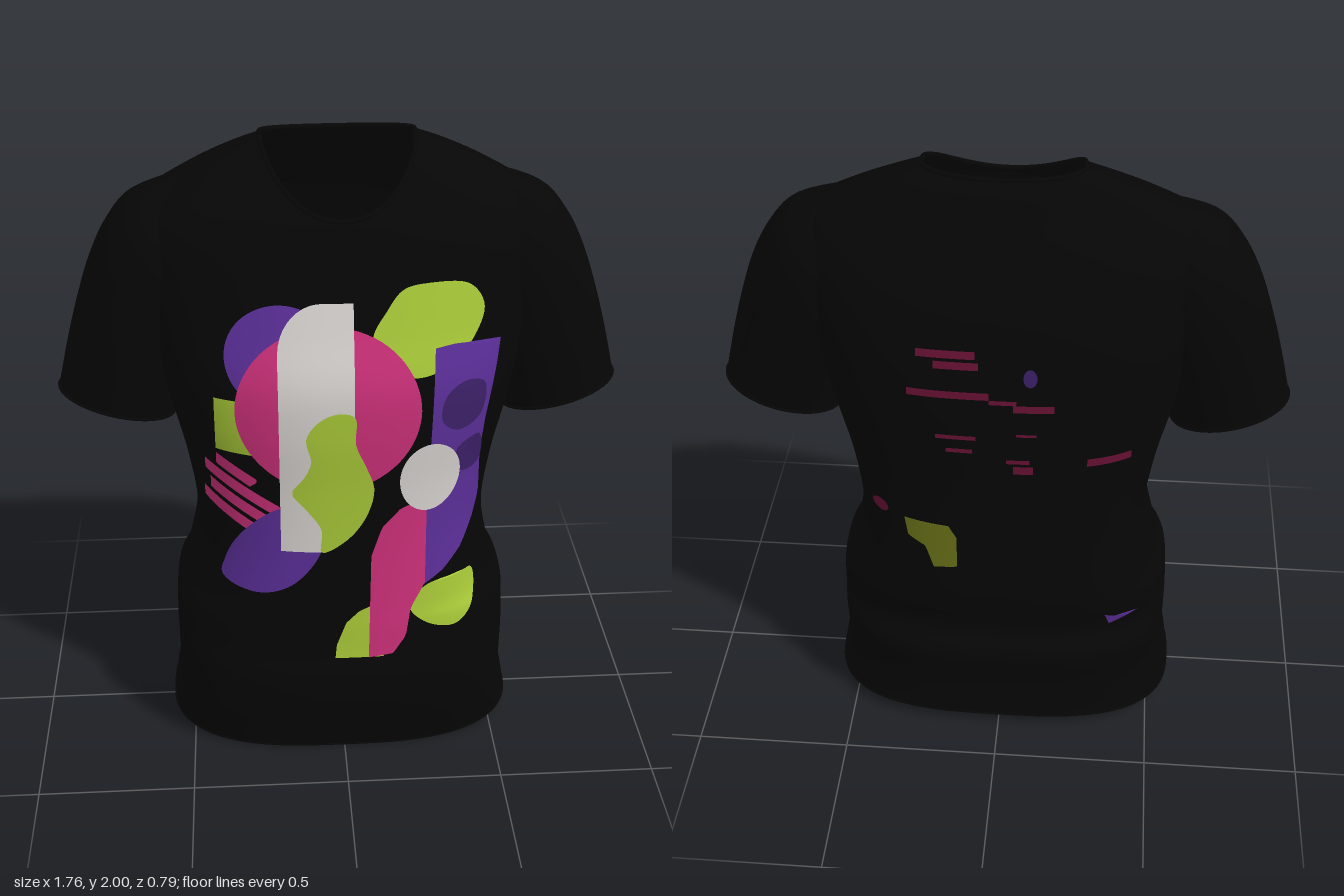
import * as THREE from 'three';

const paint = (name, color) => {
  const m = new THREE.MeshStandardMaterial({ color, side: THREE.DoubleSide });
  m.name = name;
  return m;
};

// Torso rings: side y, front y, back y, half width, front z, back z, centre z, squareness
const TORSO = [
  [0.04, 0.00, 0.04, 0.570, 0.315, -0.358, 0, 2.9],
  [0.10, 0.08, 0.10, 0.562, 0.342, -0.352, 0, 2.9],
  [0.20, 0.20, 0.20, 0.545, 0.380, -0.355, 0, 2.9],
  [0.33, 0.33, 0.33, 0.545, 0.396, -0.380, 0, 2.8],
  [0.41, 0.41, 0.41, 0.545, 0.380, -0.330, 0, 2.7],
  [0.52, 0.52, 0.52, 0.537, 0.372, -0.358, 0, 2.6],
  [0.60, 0.60, 0.60, 0.500, 0.366, -0.373, 0, 2.5],
  [0.80, 0.80, 0.80, 0.462, 0.356, -0.375, 0, 2.5],
  [1.00, 1.00, 1.00, 0.485, 0.354, -0.375, 0, 2.4],
  [1.20, 1.20, 1.20, 0.530, 0.360, -0.385, 0, 2.4],
  [1.35, 1.35, 1.35, 0.560, 0.350, -0.390, -0.01, 2.4],
  [1.50, 1.50, 1.50, 0.585, 0.303, -0.385, -0.02, 2.4],
  [1.64, 1.63, 1.64, 0.605, 0.263, -0.362, -0.03, 2.4],
  [1.74, 1.70, 1.73, 0.605, 0.242, -0.330, -0.05, 2.4],
  [1.825, 1.75, 1.81, 0.570, 0.230, -0.292, -0.07, 2.3],
  [1.90, 1.79, 1.89, 0.450, 0.220, -0.245, -0.09, 2.2],
  [1.955, 1.81, 1.95, 0.330, 0.212, -0.210, -0.10, 2.15],
  [1.992, 1.82, 1.98, 0.232, 0.205, -0.178, -0.10, 2.1],
];

// Smooth interpolation between table rows, u running from 0 to rows - 1
function rowAt(table, u) {
  const last = table.length - 1, i = Math.min(Math.floor(u), last - 1), f = u - i;
  const [a, b, c, d] = [i - 1, i, i + 1, i + 2].map(k => table[Math.max(0, Math.min(last, k))]);
  return b.map((q, k) => q + 0.5 * f * (c[k] - a[k] + f * (2 * a[k] - 5 * q + 4 * c[k] - d[k]
    + f * (3 * (q - c[k]) + d[k] - a[k]))));
}

// The back is squarer than the front
const squareness = (n, front) => front ? n : Math.min(2.9, 2 * n - 2);

function torsoPoint(u, angle) {
  const [yS, yF, yB, w, zF, zB, zC, q] = rowAt(TORSO, u);
  const c = Math.cos(angle), s = Math.sin(angle), front = s > 0, n = squareness(q, front);
  const k = Math.pow(Math.abs(s), 2 / n);
  return [Math.sign(c) * w * Math.pow(Math.abs(c), 2 / n),
    yS + ((front ? yF : yB) - yS) * Math.pow(Math.abs(s), 1.45),
    zC + ((front ? zF : zB) - zC) * k];
}

// Depth of the cloth at a given x and y, on the front or back
function clothZ(x, y, front) {
  let lo = 0, hi = TORSO.length - 1;
  for (let i = 0; i < 24; i++) {
    const mid = (lo + hi) / 2;
    if (rowAt(TORSO, mid)[front ? 1 : 2] < y) lo = mid; else hi = mid;
  }
  const [, , , w, zF, zB, zC, q] = rowAt(TORSO, lo), n = squareness(q, front);
  const k = Math.pow(Math.max(0, 1 - Math.pow(Math.abs(x) / w, n)), 1 / n);
  return zC + ((front ? zF : zB) - zC) * k;
}

// Surface through rows of points, optionally closed around each row
function loft(rows, closed) {
  const m = rows[0].length, index = [];
  for (let r = 0; r < rows.length - 1; r++) {
    for (let j = 0; j < (closed ? m : m - 1); j++) {
      const a = r * m + j, b = r * m + (j + 1) % m;
      index.push(a, a + m, b, b, a + m, b + m);
    }
  }
  const g = new THREE.BufferGeometry();
  g.setAttribute('position', new THREE.Float32BufferAttribute(rows.flat(2), 3));
  g.setIndex(index);
  g.computeVertexNormals();
  return g;
}

const ringOf = (count, fn) => Array.from({ length: count }, (_, i) => fn(i / count * Math.PI * 2));

// Flat closing panel that fills a ring of points towards its middle
function panel(ring) {
  const mid = [0, 1, 2].map(k => ring.reduce((sum, p) => sum + p[k], 0) / ring.length);
  return loft([0.02, 0.5, 1].map(f => ring.map(p => p.map((v, k) => mid[k] + (v - mid[k]) * f))), true);
}

// Rounded edge that follows a ring of points
const edging = (ring, radius) => new THREE.TubeGeometry(
  new THREE.CatmullRomCurve3(ring.map(p => new THREE.Vector3(...p)), true), 112, radius, 6, true);

// Printed patch: an outline cut into horizontal spans and laid on the cloth
function patchGeometry(outline, layer, front) {
  const ys = outline.map(p => p[1]), y0 = Math.min(...ys), y1 = Math.max(...ys);
  const rows = [], R = 36, C = 14, lift = (0.005 + 0.0012 * layer) * (front ? 1 : -1);
  for (let r = 0; r <= R; r++) {
    const f = 0.0005 + 0.999 * (0.5 - 0.5 * Math.cos(Math.PI * r / R)), y = y0 + (y1 - y0) * f;
    const xs = [];
    outline.forEach((p, i) => {
      const q = outline[(i + 1) % outline.length];
      if ((p[1] <= y) !== (q[1] <= y)) xs.push(p[0] + (q[0] - p[0]) * (y - p[1]) / (q[1] - p[1]));
    });
    const a = Math.min(...xs), b = Math.max(...xs);
    rows.push(Array.from({ length: C + 1 }, (_, j) => {
      const x = a + (b - a) * (front ? 1 - j / C : j / C);
      return [x, y, clothZ(x, y, front) + lift];
    }));
  }
  return loft(rows, false);
}

const blob = pts => new THREE.CatmullRomCurve3(pts.map(p => new THREE.Vector3(p[0], p[1], 0)), true, 'centripetal')
  .getPoints(80).slice(0, -1).map(v => [v.x, v.y]);
const oval = (x, y, rx, ry) => ringOf(64, a => [x + rx * Math.cos(a), y + ry * Math.sin(a)]);
const box = (x0, y0, x1, y1) => [[x0, y0], [x1, y0], [x1, y1], [x0, y1]];

export function createModel() {
  const shirt = new THREE.Group();
  shirt.name = 'tShirt';
  const black = paint('black cloth', 0x060606);
  const white = paint('off white ink', 0xd6d2cf), pink = paint('pink ink', 0xcb3079);
  const lime = paint('lime ink', 0xa8c838), purple = paint('purple ink', 0x5b2f99);
  const darkPurple = paint('dark purple ink', 0x3d2169);
  const darkRed = paint('dark red ink', 0x6b1236), olive = paint('olive ink', 0x6c7418);
  const add = (name, geometry, material, parent = shirt) => {
    const mesh = new THREE.Mesh(geometry, material);
    mesh.name = name;
    parent.add(mesh);
  };

  // Body with collar band, hem edge and closing panel
  const top = TORSO.length - 1;
  const torsoRing = (u, count) => ringOf(count, a => torsoPoint(u, a));
  add('body', loft(Array.from({ length: top * 5 + 1 }, (_, i) => torsoRing(i / 5, 128)), true), black);
  add('collar', edging(torsoRing(top, 48), 0.008), black);
  add('hem', edging(torsoRing(0, 64), 0.004), black);
  add('hemPanel', panel(torsoRing(0, 128)), black);

  // Sleeves: outer x, y, inner x, y, half depth, centre z
  const SLEEVE = [
    [0.878, 1.21, 0.52, 1.11, 0.142, -0.035],
    [0.84, 1.365, 0.50, 1.18, 0.158, -0.037],
    [0.80, 1.505, 0.48, 1.26, 0.175, -0.042],
    [0.755, 1.635, 0.46, 1.35, 0.19, -0.05],
    [0.70, 1.742, 0.43, 1.45, 0.2, -0.055],
    [0.62, 1.828, 0.41, 1.55, 0.19, -0.062],
    [0.45, 1.89, 0.38, 1.62, 0.13, -0.07],
  ];
  for (const side of [1, -1]) {
    const sleeveRing = (u, count) => ringOf(count, a => {
      const [ox, oy, ix, iy, h, z] = rowAt(SLEEVE, u), c = Math.cos(a) / 2;
      return [side * ((ox + ix) / 2 + (ox - ix) * c), (oy + iy) / 2 + (oy - iy) * c, z + side * h * Math.sin(a)];
    });
    const name = side > 0 ? 'leftSleeve' : 'rightSleeve';
    add(name, loft(Array.from({ length: 31 }, (_, i) => sleeveRing(i / 5, 48)), true), black);
    add(name + 'Cuff', edging(sleeveRing(0, 32), 0.005), black);
    add(name + 'Panel', panel(sleeveRing(0, 48)), black);
  }

  // Front print, from the lowest layer up
  const frontPrint = new THREE.Group();
  frontPrint.name = 'frontPrint';
  shirt.add(frontPrint);
  const print = (name, outline, material, layer) =>
    add(name, patchGeometry(outline, layer, true), material, frontPrint);
  print('limeCloud', blob([[0.08, 1.5], [0.12, 1.57], [0.17, 1.63], [0.25, 1.645], [0.37, 1.63], [0.415, 1.56],
    [0.38, 1.47], [0.30, 1.4], [0.2, 1.38], [0.1, 1.43]]), lime, 0);
  print('purpleDisc', oval(-0.19, 1.44, 0.165, 0.155), purple, 0);
  print('limeTab', box(-0.39, 1.13, -0.28, 1.31), lime, 0);
  print('pinkDisc', oval(-0.052, 1.275, 0.277, 0.26), pink, 1);
  print('purpleLeaf', blob([[-0.2, 0.95], [-0.28, 0.89], [-0.34, 0.81], [-0.375, 0.73], [-0.385, 0.67], [-0.28, 0.64],
    [-0.18, 0.67], [-0.11, 0.74], [-0.075, 0.81], [-0.08, 0.88], [-0.13, 0.95]]), purple, 1);
  print('whiteColumn', [...ringOf(48, a => [-0.07 + 0.13 * Math.cos(a), 1.45 + 0.15 * Math.sin(a)]).slice(12, 25),
    [-0.2, 0.8], [-0.07, 0.8], [0.025, 0.9], [0.025, 1.6]], white, 2);
  print('limePear', blob([[-0.12, 1.2], [-0.08, 1.26], [-0.02, 1.285], [0.026, 1.27], [0.028, 1.18], [0.06, 1.1],
    [0.085, 1.02], [0.06, 0.92], [0, 0.84], [-0.075, 0.8], [-0.075, 0.88], [-0.12, 0.95], [-0.165, 1.01],
    [-0.13, 1.06], [-0.105, 1.12]]), lime, 3);
  print('purpleColumn', [[0.265, 1.46], [0.33, 1.465], [0.47, 1.455], [0.46, 1.38], [0.43, 1.2], [0.42, 1.08],
    [0.428, 0.9], [0.41, 0.83], [0.37, 0.75], [0.31, 0.69], [0.24, 0.65], [0.25, 0.95], [0.26, 1.3]], purple, 1);
  print('darkSpot', blob([[0.3, 1.31], [0.36, 1.35], [0.42, 1.33], [0.41, 1.22], [0.34, 1.19], [0.29, 1.23]]), darkPurple, 2);
  print('darkSpotLower', blob([[0.34, 1.12], [0.41, 1.15], [0.415, 1.04], [0.36, 1.03]]), darkPurple, 2);
  print('whiteDot', oval(0.258, 1.04, 0.095, 0.118), white, 3);
  print('limeFoot', [[-0.035, 0.41], [-0.03, 0.46], [0, 0.54], [0.04, 0.58], [0.09, 0.605], [0.12, 0.41]], lime, 0);
  print('limeBean', blob([[0.2, 0.6], [0.27, 0.655], [0.32, 0.64], [0.405, 0.655], [0.41, 0.54], [0.36, 0.49],
    [0.28, 0.505], [0.21, 0.56]]), lime, 0);
  print('pinkStem', [[0.072, 0.41], [0.15, 0.42], [0.19, 0.48], [0.205, 0.58], [0.25, 0.66], [0.25, 0.965],
    [0.17, 0.945], [0.11, 0.88], [0.078, 0.78]], pink, 2);

  // Brushed pink strokes beside the pear
  [[-0.39, 1.115, -0.27, 1.045], [-0.425, 1.078, -0.2, 0.955], [-0.41, 1.012, -0.2, 0.9],
    [-0.43, 0.965, -0.26, 0.875]].forEach(([x0, y0, x1, y1], i) =>
    print('pinkStroke' + i, [[x0, y0], [x1, y1], [x1, y1 - 0.012], [x1 - 0.02, y1 - 0.03], [x0, y0 - 0.042]], pink, 0));

  // Small scattered marks on the back
  const backPrint = new THREE.Group();
  backPrint.name = 'backPrint';
  shirt.add(backPrint);
  const mark = (name, outline, material) => add(name, patchGeometry(outline, 0, false), material, backPrint);
  [[0.06, 1.52, 0.23, 1.545], [0.05, 1.485, 0.18, 1.51], [0.02, 1.385, 0.26, 1.41], [-0.17, 1.345, -0.05, 1.37],
    [-0.06, 1.37, 0.02, 1.385], [0.06, 1.235, 0.18, 1.25], [-0.12, 1.255, -0.06, 1.265], [0.07, 1.185, 0.15, 1.2],
    [-0.1, 1.15, -0.03, 1.165], [-0.11, 1.11, -0.05, 1.14],
    [-0.4, 1.135, -0.27, 1.165]].forEach((b, i) => mark('backDash' + i, box(...b), darkRed));
  mark('backSideDot', oval(0.37, 0.9, 0.027, 0.024), darkRed);
  mark('backPurpleDot', oval(-0.1, 1.465, 0.02, 0.03), darkPurple);
  mark('backLowMark', [[-0.45, 0.47], [-0.36, 0.435], [-0.345, 0.49], [-0.39, 0.465]], purple);
  mark('backOlivePatch', [[0.29, 0.89], [0.15, 0.885], [0.125, 0.84], [0.125, 0.72], [0.2, 0.71], [0.225, 0.79],
    [0.28, 0.82]], olive);
  return shirt;
}
